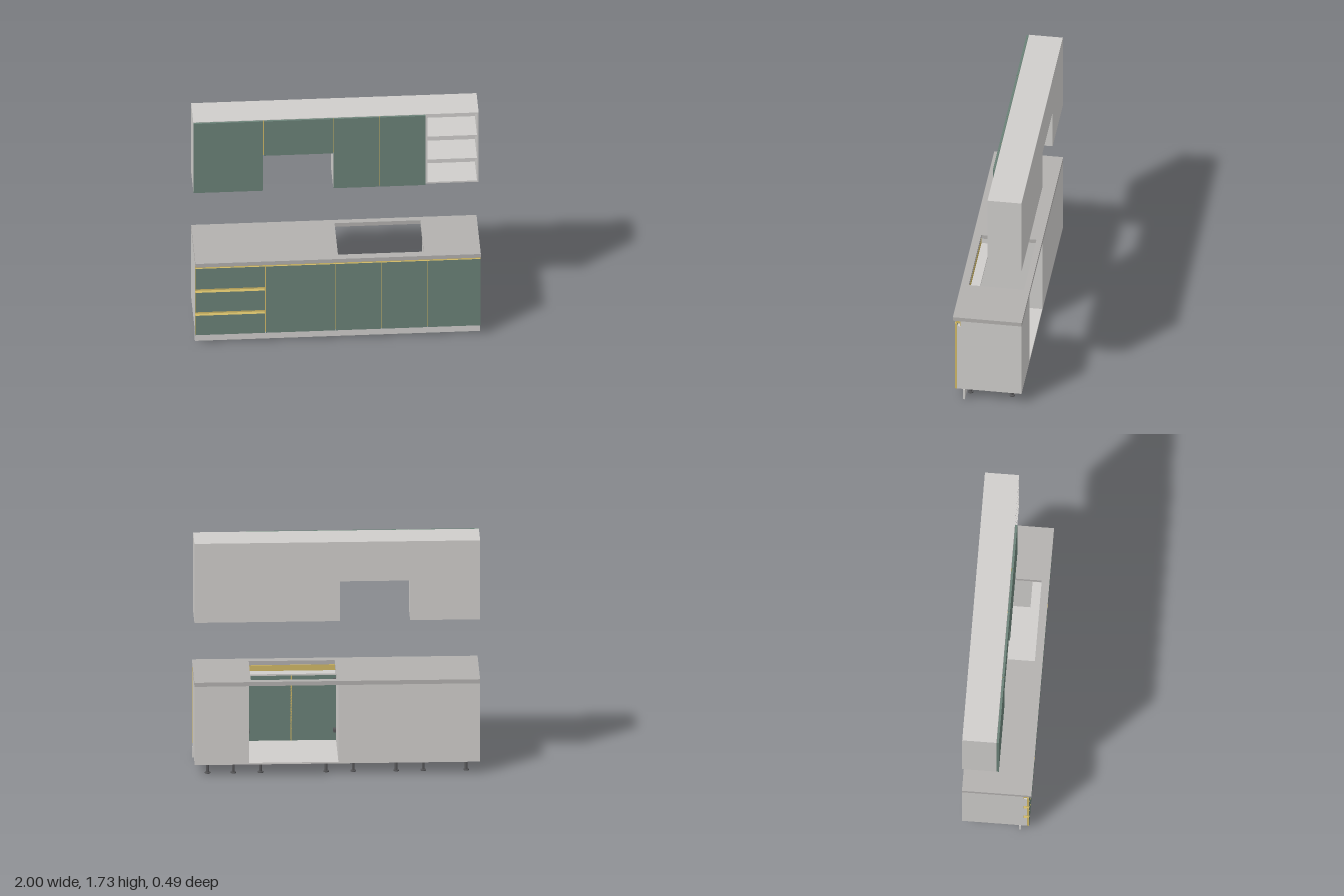
import * as THREE from 'three';

const mat = (name, color) => {
  const m = new THREE.MeshStandardMaterial({ color });
  m.name = name;
  return m;
};

export function createModel() {
  const root = new THREE.Group();
  root.name = 'kitchen';
  const carcass = mat('carcass light grey', 0xcfcdcb);
  const stone = mat('worktop grey', 0xb2b0ae);
  const green = mat('front green', 0x6a8177);
  const gold = mat('trim gold', 0xcfb766);
  const dark = mat('leg dark grey', 0x58585a);
  const T = 0.012; // board thickness

  // Box given by its limits on each axis
  const box = (name, material, x0, x1, y0, y1, z0, z1, parent = root) => {
    const mesh = new THREE.Mesh(new THREE.BoxGeometry(x1 - x0, y1 - y0, z1 - z0), material);
    mesh.position.set((x0 + x1) / 2, (y0 + y1) / 2, (z0 + z1) / 2);
    mesh.name = name;
    parent.add(mesh);
    return mesh;
  };

  // Base cabinet side profile in (z, y), with notches for the handle channels
  const BACK = -0.24, FRONT = 0.215, BOTTOM = 0.087, TOP = 0.67;
  const NOTCH = 0.19;
  const profile = (x0, x1, name, midNotches = []) => {
    const s = new THREE.Shape();
    s.moveTo(BACK, BOTTOM);
    s.lineTo(FRONT, BOTTOM);
    for (const y of midNotches) {
      s.lineTo(FRONT, y - 0.025);
      s.lineTo(NOTCH, y - 0.025);
      s.lineTo(NOTCH, y + 0.025);
      s.lineTo(FRONT, y + 0.025);
    }
    s.lineTo(FRONT, 0.625);
    s.lineTo(NOTCH, 0.625);
    s.lineTo(NOTCH, TOP);
    s.lineTo(BACK, TOP);
    const g = new THREE.ExtrudeGeometry(s, { depth: x1 - x0, bevelEnabled: false });
    g.rotateY(-Math.PI / 2);
    g.translate(x1, 0, 0);
    const mesh = new THREE.Mesh(g, carcass);
    mesh.name = name;
    root.add(mesh);
  };
  const X = [-1, -0.51, -0.02, 0.63, 1];
  const gaps = [0.266, 0.46];
  profile(X[0], X[1], 'drawerCabinet', gaps);
  profile(X[1], X[2], 'baseCabinetMiddle');
  profile(X[3], X[4] - 0.002, 'baseCabinetRight');

  // Sink cabinet, open at the back and top
  profile(X[2], X[2] + T, 'sinkCabinetSide');
  profile(X[3] - T, X[3], 'sinkCabinetSide');
  box('sinkCabinetFloor', carcass, X[2] + T, X[3] - T, BOTTOM, BOTTOM + T, BACK, FRONT);
  box('sinkFrontRail', carcass, X[2] + T, X[3] - T, 0.613, 0.625, 0.125, FRONT);
  for (const x of [X[2] + T, X[3] - T - 0.02])
    for (const y of [0.17, 0.54]) box('hinge', dark, x, x + 0.02, y, y + 0.02, 0.17, FRONT);

  // Worktop with sink cutout
  const top = new THREE.Shape();
  top.moveTo(-1, -0.245).lineTo(1, -0.245).lineTo(1, 0.242).lineTo(-1, 0.242);
  const hole = new THREE.Path();
  hole.moveTo(0.002, -0.19).lineTo(0.002, 0.2).lineTo(0.604, 0.2).lineTo(0.604, -0.19);
  top.holes.push(hole);
  const topGeo = new THREE.ExtrudeGeometry(top, { depth: 0.03, bevelEnabled: false });
  topGeo.rotateX(-Math.PI / 2);
  topGeo.translate(0, TOP, 0);
  const worktop = new THREE.Mesh(topGeo, stone);
  worktop.name = 'worktop';
  root.add(worktop);

  // Handle channels: top rail and two drawer channels
  box('topChannel', gold, -1, 0.998, 0.65, 0.668, NOTCH, 0.222);
  box('topChannelBack', gold, -1, 0.998, 0.626, 0.65, NOTCH, NOTCH + 0.003);
  for (const y of gaps) {
    box('drawerChannelBack', gold, -1, X[1], y - 0.025, y + 0.025, NOTCH, NOTCH + 0.003);
    for (const e of [-0.025, 0.022])
      box('drawerChannelLip', gold, -1, X[1], y + e, y + e + 0.003, NOTCH, FRONT);
  }

  // Fronts with gold edging; box sides are +x, -x, +y, -y, +z, -z
  const front = (name, x0, x1, y0, y1, z, edges) => box(name, edges, x0, x1, y0, y1, z, z + 0.015);
  const lowEdges = [gold, gold, gold, gold, green, green];
  const highEdges = [green, green, green, gold, green, green];
  for (const [y0, y1] of [[0.087, 0.251], [0.281, 0.445], [0.475, 0.648]])
    front('drawerFront', -1, -0.513, y0, y1, FRONT, lowEdges);
  const doors = [[-0.506, -0.022], [-0.018, 0.303], [0.307, 0.628]];
  for (const [x0, x1] of [...doors, [0.632, 0.998]])
    front('baseDoor', x0, x1, 0.087, 0.648, FRONT, lowEdges);
  for (const x of [-0.5095, -0.02, 0.305, 0.63])
    box('baseGapTrim', gold, x - 0.004, x + 0.004, 0.09, 0.645, FRONT, FRONT + 0.004);

  // Plinth and legs
  box('plinth', carcass, -1, 1, 0, 0.082, 0.16, 0.172);
  const leg = (x, z) => {
    const g = new THREE.Group();
    g.name = 'leg';
    for (const [r, h, y] of [[0.02, 0.008, 0.004], [0.01, 0.075, 0.045], [0.02, 0.008, 0.083]]) {
      const m = new THREE.Mesh(new THREE.CylinderGeometry(r, r, h, 16), dark);
      m.position.y = y;
      m.name = 'legPart';
      g.add(m);
    }
    g.position.set(x, 0, z);
    root.add(g);
  };
  for (let i = 0; i < 4; i++)
    for (const x of [X[i] + 0.095, X[i + 1] - 0.095]) for (const z of [0.133, -0.16]) leg(x, z);

  // Wall cabinets
  const W0 = 1.145, W1 = 1.732, HOOD = 1.44;
  box('wallCabinetLeft', carcass, X[0], X[1], W0, W1, BACK, 0);
  box('wallCabinetHood', carcass, X[1], X[2], HOOD, W1, BACK, 0);
  box('wallCabinetRight', carcass, X[2], X[3], W0, W1, BACK, 0);
  front('wallDoor', -1, -0.513, W0, W1 - 0.002, 0.002, highEdges);
  front('wallDoor', doors[0][0], doors[0][1], HOOD, W1 - 0.002, 0.002, highEdges);
  for (const [x0, x1] of doors.slice(1)) front('wallDoor', x0, x1, W0, W1 - 0.002, 0.002, highEdges);
  for (const [x, y0] of [[-0.5095, HOOD], [-0.02, HOOD], [0.305, W0]])
    box('wallGapTrim', gold, x - 0.004, x + 0.004, y0, W1 - 0.003, 0, 0.004);

  // Open shelf unit
  box('shelfSide', carcass, X[3], X[3] + T, W0, W1, BACK, 0);
  box('shelfSide', carcass, 1 - T, 1, W0, W1, BACK, 0);
  box('shelfBack', carcass, X[3] + T, 1 - T, W0, W1, BACK, BACK + 0.006);
  for (const y of [W0, 1.336, 1.53, W1 - T])
    box('shelfBoard', carcass, X[3] + T, 1 - T, y, y + T, BACK + 0.006, 0);

  return root;
}
